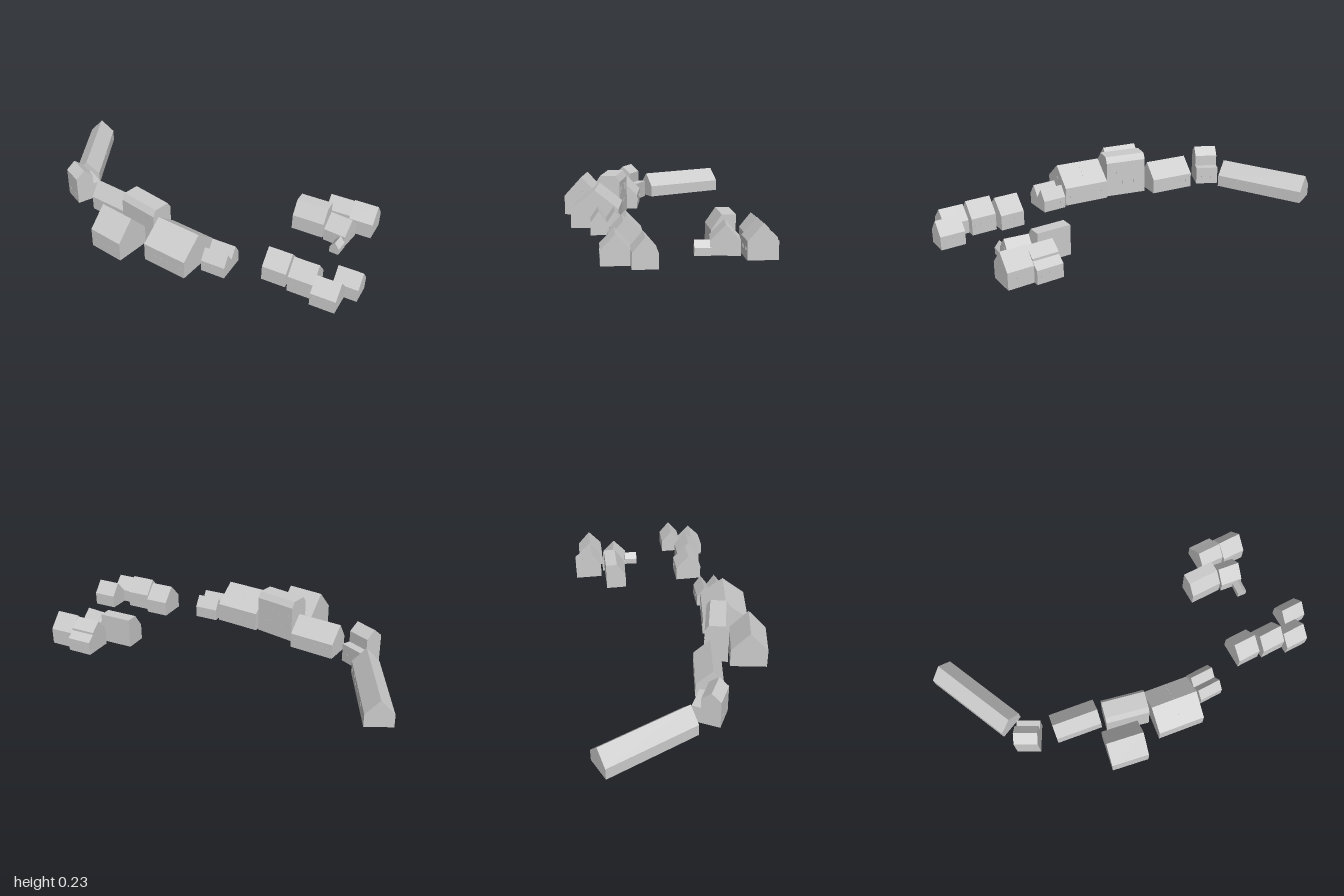
import * as THREE from 'three';

const grey = new THREE.MeshStandardMaterial({ color: 0xcccccc, flatShading: true });

// simple gable cross-section [z, y], from back eave over the ridge to front eave
const gable = (w, eave, ridge, ridgeZ = 0) => [[-w / 2, eave], [ridgeZ, ridge], [w / 2, eave]];

function box(name, w, h, d, x, y, z) {
  const m = new THREE.Mesh(new THREE.BoxGeometry(w, h, d), grey);
  m.name = name;
  m.position.set(x, y, z);
  return m;
}

// A row of slim window panels on a long wall
function windowRow(house, len, z, y, count, w = 0.009, h = 0.018) {
  for (let i = 0; i < count; i++) {
    const x = len * ((i + 0.5) / count - 0.5) * 0.92;
    house.add(box('window', w, h, 0.002, x, y, z));
  }
}

// House: roof-and-wall profile extruded along its ridge, turned by deg clockwise seen from above
function house(name, { x, z, deg = 0, len, roof, front = 0, back = 0, winY = 0.045, gableWin }) {
  const g = new THREE.Group();
  g.name = name;
  const zBack = roof[0][0], zFront = roof[roof.length - 1][0];
  const outline = [[zBack, 0], ...roof, [zFront, 0]];
  const shape = new THREE.Shape(outline.map(([pz, py]) => new THREE.Vector2(-pz, py)));
  const geo = new THREE.ExtrudeGeometry(shape, { depth: len, bevelEnabled: false });
  geo.translate(0, 0, -len / 2);
  geo.rotateY(Math.PI / 2);
  const body = new THREE.Mesh(geo, grey);
  body.name = 'wallsAndRoof';
  g.add(body);
  windowRow(g, len, zFront, winY, front);
  windowRow(g, len, zBack, winY, back);
  if (gableWin) g.add(box('gableWindow', 0.002, 0.022, 0.007, len / 2, gableWin, 0));
  g.position.set(x, 0, z);
  g.rotation.y = -THREE.MathUtils.degToRad(deg);
  return g;
}

export function createModel() {
  const village = new THREE.Group();
  village.name = 'village';
  const add = (name, o) => {
    const h = house(name, o);
    village.add(h);
    return h;
  };

  // Western row
  add('longBarn', { x: -0.83, z: -0.24, deg: 65.1, len: 0.495, roof: gable(0.139, 0.065, 0.139), back: 7 });
  add('cornerHouse', {
    x: -0.668, z: 0.088, deg: 28, len: 0.125, front: 2, back: 2,
    roof: [[-0.0725, 0.097], [-0.026, 0.097], [-0.026, 0.157], [0.023, 0.2], [0.0725, 0.157]],
  });
  add('rowHouse', { x: -0.412, z: 0.128, deg: 7.4, len: 0.248, roof: gable(0.141, 0.08, 0.163, 0.015), front: 5, back: 6 });

  // Tall hall with a flat-topped roof and two storeys of windows
  const hall = add('tallHall', {
    x: -0.16, z: 0.222, deg: 13, len: 0.23, back: 6, winY: 0.075,
    roof: [[-0.0635, 0.197], [-0.043, 0.23], [0.043, 0.23], [0.0635, 0.197]],
  });
  windowRow(hall, 0.23, -0.0635, 0.15, 6, 0.012, 0.035);
  add('frontHouse', { x: -0.24, z: 0.374, deg: 10, len: 0.2, roof: gable(0.193, 0.106, 0.213), front: 4, gableWin: 0.14 });

  // Great barn with a line of small roof vents on both slopes
  const barn = add('greatBarn', {
    x: 0.085, z: 0.308, deg: 7, len: 0.252, roof: gable(0.245, 0.1, 0.197), front: 6, back: 6, gableWin: 0.12,
  });
  for (const side of [-1, 1]) {
    for (let i = 0; i < 6; i++) {
      const t = (i + 0.5) / 6;
      const vent = box('roofVent', 0.004, 0.002, 0.006, 0, 0.197 - 0.097 * t, side * 0.1225 * t);
      vent.rotation.x = side * Math.atan2(0.097, 0.1225);
      barn.add(vent);
    }
  }
  // Twin-gabled cottage
  add('twinCottage', {
    x: 0.303, z: 0.267, len: 0.13, front: 3, back: 3, winY: 0.035,
    roof: [[-0.08, 0.062], [-0.04, 0.12], [0, 0.062], [0.04, 0.12], [0.08, 0.062]],
  });

  // South-eastern row
  add('eastHouseA', { x: 0.594, z: 0.184, len: 0.128, roof: gable(0.147, 0.08, 0.157), front: 4, back: 4 });
  add('eastHouseB', { x: 0.74, z: 0.207, len: 0.132, roof: gable(0.133, 0.088, 0.166), front: 4, back: 4 });
  add('eastHouseC', { x: 0.871, z: 0.247, len: 0.129, roof: gable(0.13, 0.07, 0.137), front: 4, back: 3 });
  add('eastHouseD', { x: 0.936, z: 0.127, len: 0.128, roof: gable(0.112, 0.07, 0.137), front: 2, back: 3 });

  // North-eastern cluster
  add('storehouse', {
    x: 0.585, z: -0.257, len: 0.176,
    roof: [[-0.057, 0.157], [0.008, 0.157], [0.057, 0.085]],
  });
  add('steppedHouse', {
    x: 0.703, z: -0.412, len: 0.134, back: 3, winY: 0.04,
    roof: [[-0.075, 0.07], [-0.035, 0.1], [-0.035, 0.112], [0.022, 0.157], [0.075, 0.09]],
  });
  add('northHouse', { x: 0.835, z: -0.39, len: 0.13, roof: gable(0.138, 0.085, 0.163), front: 4, back: 4 });
  add('yardHouse', { x: 0.75, z: -0.25, deg: 7, len: 0.122, roof: gable(0.136, 0.068, 0.14), front: 3, gableWin: 0.085 });
  add('yardShed', { x: 0.776, z: -0.145, deg: 95, len: 0.075, roof: gable(0.052, 0.035, 0.068) });

  return village;
}
